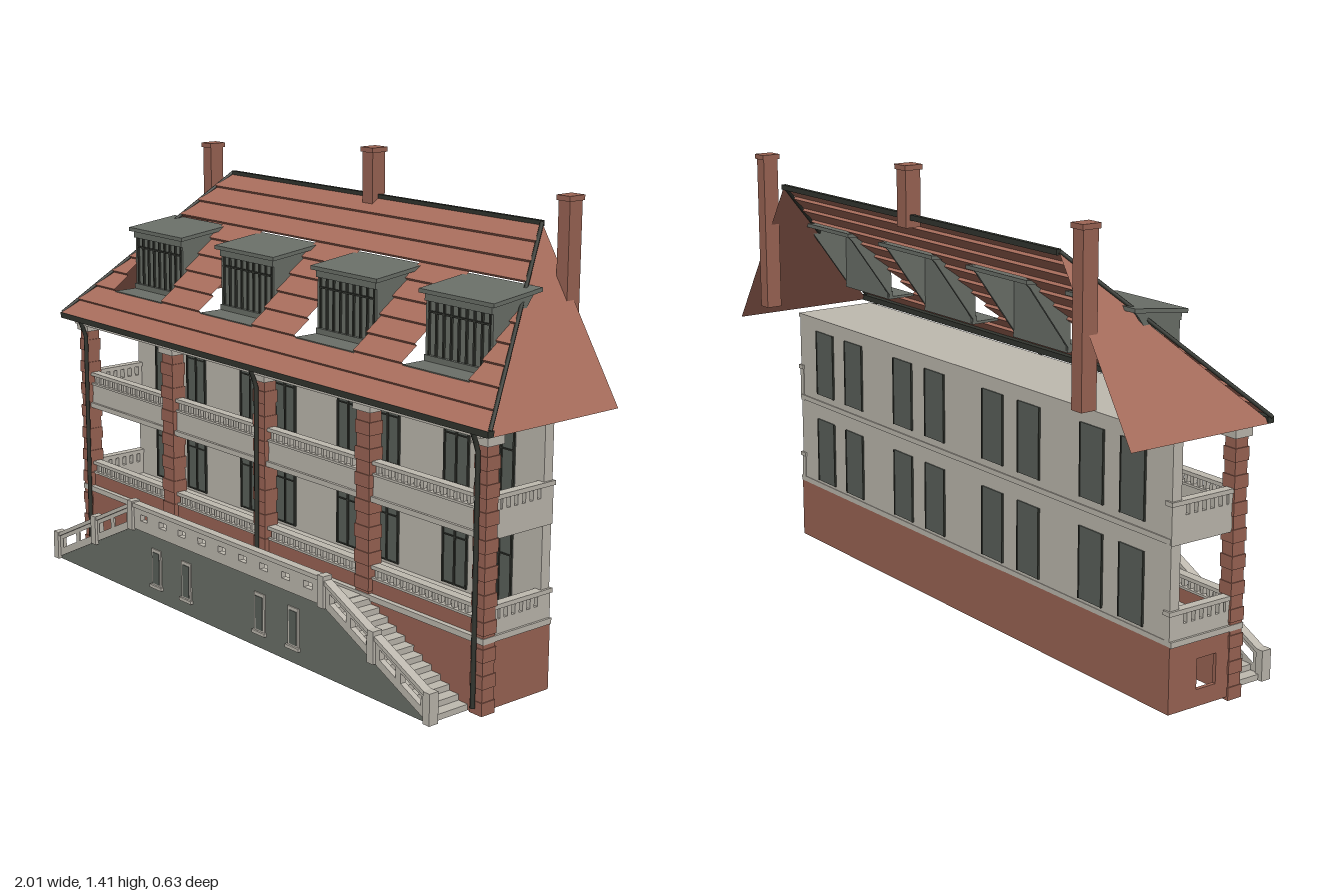
import * as THREE from 'three';

const mat = (name, color, side = THREE.FrontSide) => {
  const m = new THREE.MeshStandardMaterial({ color, side });
  m.name = name;
  return m;
};
const stone = mat('pale stone', 0xbfbab0);
const brick = mat('red brick', 0x9c6555);
const tile = mat('roof tile', 0xa96e5d, THREE.DoubleSide);
const slate = mat('grey slate', 0x6b7069, THREE.DoubleSide);
const dark = mat('dark metal', 0x32352f);
const glass = mat('window glass', 0x5b615b);

function add(parent, name, geo, m) {
  const mesh = new THREE.Mesh(geo, m);
  mesh.name = name;
  parent.add(mesh);
  return mesh;
}
function group(parent, name) {
  const g = new THREE.Group();
  g.name = name;
  parent.add(g);
  return g;
}
// Box given by its limits
function box(parent, name, m, x0, x1, y0, y1, z0, z1) {
  const geo = new THREE.BoxGeometry(Math.abs(x1 - x0), y1 - y0, z1 - z0);
  return add(parent, name, geo.translate((x0 + x1) / 2, (y0 + y1) / 2, (z0 + z1) / 2), m);
}
const poly = (pts) => pts.map(([x, y]) => new THREE.Vector2(x, y));
function plate(pts, holes, depth) {
  const s = new THREE.Shape(poly(pts));
  holes.forEach((h) => s.holes.push(new THREE.Path(poly(h))));
  return new THREE.ExtrudeGeometry(s, { depth, bevelEnabled: false });
}
function quads(list) {
  const pos = [];
  list.forEach(([a, b, c, d]) => pos.push(...a, ...b, ...c, ...a, ...c, ...d));
  const g = new THREE.BufferGeometry();
  g.setAttribute('position', new THREE.Float32BufferAttribute(pos, 3));
  g.computeVertexNormals();
  return g;
}
const rod = (pts, r) => {
  const path = new THREE.CurvePath();
  const v = pts.map((p) => new THREE.Vector3(...p));
  for (let i = 1; i < v.length; i++) path.add(new THREE.LineCurve3(v[i - 1], v[i]));
  return new THREE.TubeGeometry(path, 24, r, 8);
};

const DORMERS = [-0.695, -0.232, 0.232, 0.695];
const EAVE = 0.8, RIDGE = 1.26;
const hipX = (y) => 1 - (y - EAVE) * (0.3 / 0.46);
const roofZ = (y) => 0.2 - (y - EAVE) * (0.49 / 0.46);

function buildRoof(root) {
  const g = group(root, 'roof');
  // Overlapping tile courses, interrupted by the dormer openings
  const list = [], n = 10, h = (RIDGE - EAVE) / n, lift = 0.007;
  for (let i = 0; i < n; i++) {
    const y0 = EAVE + i * h, y1 = y0 + h;
    const cuts = i >= 2 && i < 7 ? DORMERS.flatMap((c) => [c - 0.13, c + 0.13]) : [];
    const bottom = [-hipX(y0), ...cuts, hipX(y0)], top = [-hipX(y1), ...cuts, hipX(y1)];
    for (let k = 0; k < bottom.length; k += 2) {
      let [a, b, c, d] = [bottom[k], bottom[k + 1], top[k + 1], top[k]];
      if (a >= b) continue;
      d = Math.min(d, c);
      if (k === bottom.length - 2) { d = top[k]; c = Math.max(c, d); }
      const z0 = roofZ(y0), z1 = roofZ(y1);
      const p = [a, y0 + lift, z0 + lift], q = [b, y0 + lift, z0 + lift];
      list.push([p, q, [c, y1, z1], [d, y1, z1]]);
      list.push([[a, y0, z0], [b, y0, z0], q, p]);
    }
  }
  add(g, 'tileCourses', quads(list), tile);
  for (const s of [-1, 1]) {
    const a = [s, 0.79, 0.2], b = [s, 0.79, -0.29], c = [s * 0.7, RIDGE, -0.29];
    add(g, 'hipSlope', quads([s > 0 ? [a, b, c, c] : [b, a, c, c]]), tile);
    add(g, 'hipTrim', rod([[s, 0.807, 0.2], [s * 0.7, 1.262, -0.288]], 0.006), dark);
  }
  box(g, 'ridgeTrim', dark, -0.7, 0.7, 1.252, 1.268, -0.298, -0.284);
  box(g, 'gutter', dark, -1, 1, 0.79, 0.808, 0.185, 0.207);
}

function buildDormer(root, x) {
  const g = group(root, 'dormer');
  g.position.x = x;
  box(g, 'windowPane', slate, -0.125, 0.125, 0.89, 1.09, 0.008, 0.016);
  for (let i = 0; i <= 8; i++) {
    const c = -0.118 + i * 0.0295;
    box(g, 'windowBar', dark, c - 0.003, c + 0.003, 0.905, 1.075, 0.016, 0.022);
  }
  box(g, 'crossBar', dark, -0.12, 0.12, 1.03, 1.035, 0.016, 0.023);
  box(g, 'windowHead', slate, -0.13, 0.13, 1.062, 1.085, 0.012, 0.026);
  box(g, 'windowFoot', slate, -0.13, 0.13, 0.89, 0.91, 0.012, 0.026);
  box(g, 'sillShelf', slate, -0.13, 0.13, 0.885, 0.893, 0.01, 0.105);
  const cheek = plate([[0.02, 0.89], [0.02, 1.09], [-0.14, 1.105], [-0.125, 1.09]], [], 0.008).rotateY(-Math.PI / 2);
  add(g, 'leftCheek', cheek, slate).position.x = 0.13;
  add(g, 'rightCheek', cheek, slate).position.x = -0.122;
  const lid = plate([[0.035, 1.083], [0.035, 1.095], [-0.15, 1.117], [-0.15, 1.105]], [], 0.29).rotateY(-Math.PI / 2);
  add(g, 'dormerRoof', lid, slate).position.x = 0.145;
}

function buildChimney(root, x, y0, y1, w) {
  const g = group(root, 'chimney');
  box(g, 'shaft', brick, x - w, x + w, y0, y1 - 0.01, -0.312, -0.262);
  box(g, 'cap', brick, x - w - 0.004, x + w + 0.004, y1 - 0.015, y1, -0.317, -0.257);
}

function buildWindow(root, x, y) {
  const g = group(root, 'window');
  box(g, 'frontGlass', glass, x - 0.05, x + 0.05, y, y + 0.215, -0.066, -0.062);
  box(g, 'backGlass', glass, x - 0.05, x + 0.05, y, y + 0.215, -0.102, -0.098);
  for (const d of [-0.048, 0, 0.048]) box(g, 'upright', dark, x + d - 0.003, x + d + 0.003, y, y + 0.215, -0.063, -0.058);
  for (const d of [0.002, 0.145, 0.213]) box(g, 'glazingBar', dark, x - 0.05, x + 0.05, y + d - 0.002, y + d + 0.002, -0.063, -0.059);
  for (const d of [-0.05, 0.05]) box(g, 'backFrame', dark, x + d - 0.002, x + d + 0.002, y, y + 0.215, -0.104, -0.098);
}

function buildBody(root) {
  const g = group(root, 'house');
  // Hollow brick base, open below, with a window hole in one end
  box(g, 'baseFront', brick, -0.95, 0.95, 0, 0.205, 0.145, 0.158);
  box(g, 'baseBack', brick, -0.95, 0.95, 0.01, 0.205, -0.1, -0.088);
  box(g, 'baseEnd', brick, 0.938, 0.95, 0.01, 0.205, -0.1, 0.158);
  const end = plate([[-0.1, 0.01], [0.158, 0.01], [0.158, 0.205], [-0.1, 0.205]],
    [[[0, 0.06], [0, 0.15], [0.07, 0.15], [0.07, 0.06]]], 0.012).rotateY(-Math.PI / 2);
  add(g, 'baseEndWithOpening', end, brick).position.x = -0.938;
  // Floors, ceiling and the window wall
  box(g, 'lowerFloor', stone, -0.955, 0.955, 0.203, 0.22, -0.1, 0.163);
  box(g, 'upperFloor', stone, -0.945, 0.945, 0.492, 0.508, -0.102, 0.155);
  box(g, 'ceiling', stone, -0.95, 0.95, 0.776, 0.788, -0.1, 0.185);
  box(g, 'windowWall', stone, -0.945, 0.945, 0.21, 0.78, -0.098, -0.065);
  for (const y of [0.23, 0.53])
    for (const x of [0.15, 0.325, 0.612, 0.787]) for (const s of [-1, 1]) buildWindow(g, s * x, y);
  // Brick piers of alternating blocks, with stone capitals
  for (const [x, w] of [[-0.932, 0.024], [-0.465, 0.031], [0, 0.028], [0.465, 0.031], [0.932, 0.024]]) {
    const p = group(g, 'pier');
    for (let i = 0; i < 20; i++) {
      const e = i % 2 ? 0.003 : 0, y = i * 0.038;
      box(p, 'pierBlock', brick, x - w + e, x + w - e, y, y + 0.038, 0.113 + e, 0.163 - e);
    }
    box(p, 'capital', stone, x - w - 0.006, x + w + 0.006, 0.752, 0.778, 0.106, 0.168);
  }
}

function buildBalconies(root) {
  const g = group(root, 'balconies');
  for (const [y0, yb, m] of [[0.22, 0.262, brick], [0.5, 0.568, stone]]) {
    for (const [a, b] of [[-0.91, -0.495], [-0.435, -0.027], [0.027, 0.435], [0.495, 0.91]]) {
      box(g, 'parapet', m, a, b, y0, yb, 0.127, 0.147);
      box(g, 'bottomRail', stone, a, b, yb, yb + 0.007, 0.124, 0.15);
      box(g, 'handrail', stone, a, b, yb + 0.032, yb + 0.043, 0.122, 0.152);
      for (let i = 0; i < 16; i++) {
        const x = a + (i + 0.5) * (b - a) / 16;
        box(g, 'baluster', stone, x - 0.006, x + 0.006, yb, yb + 0.034, 0.131, 0.143);
      }
    }
    for (const s of [-1, 1]) {
      const a = s * 0.928, b = s * 0.948;
      box(g, 'endParapet', stone, a, b, y0 - 0.012, yb, -0.1, 0.115);
      box(g, 'endRail', stone, s * 0.924, s * 0.952, yb + 0.03, yb + 0.043, -0.104, 0.115);
      for (let i = 0; i < 7; i++) {
        const z = i ? 0.115 - i * 0.029 : 0.108, w = i ? 0.008 : 0.007;
        box(g, 'endBaluster', stone, a, b, yb, yb + 0.032, z - w, z + w);
      }
      box(g, 'endPost', stone, a, b, yb, yb + 0.032, -0.1, -0.06);
    }
  }
}

function buildStairs(root) {
  const g = group(root, 'entranceStairs');
  // Front wall and both raking parapets
  const wall = plate([[-0.9, 0], [0.9, 0], [0.9, 0.01], [0.465, 0.215], [-0.465, 0.215], [-0.9, 0.01]], [], 0.015);
  add(g, 'stairWall', wall, slate).position.z = 0.288;
  const slots = [];
  for (let i = 0; i < 9; i++) {
    const x = -0.4 + i * 0.1;
    slots.push([[x - 0.018, 0.245], [x - 0.018, 0.265], [x + 0.018, 0.265], [x + 0.018, 0.245]]);
  }
  const level = plate([[-0.465, 0.212], [0.465, 0.212], [0.465, 0.29], [-0.465, 0.29]], slots, 0.018);
  add(g, 'landingParapet', level, stone).position.z = 0.288;
  box(g, 'landingCoping', stone, -0.475, 0.475, 0.284, 0.297, 0.284, 0.312);
  const low = (x) => 0.212 - (x - 0.465) * 0.483;
  const rake = (a, b, u, v) => [[a, low(a) + u], [b, low(b) + u], [b, low(b) + v], [a, low(a) + v]];
  for (const s of [-1, 1]) {
    const flip = (pts) => pts.map(([x, y]) => [s * x, y]);
    const holes = [[0.495, 0.565], [0.585, 0.65], [0.705, 0.77], [0.79, 0.87]].map(([a, b]) => flip(rake(a, b, 0.026, 0.056)));
    add(g, 'rakingParapet', plate(flip(rake(0.465, 0.9, 0, 0.075)), holes, 0.018), stone).position.z = 0.288;
    add(g, 'rakingCoping', plate(flip(rake(0.465, 0.9, 0.07, 0.083)), [], 0.028), stone).position.z = 0.284;
    for (const x of [0.465, 0.675, 0.9])
      box(g, 'parapetPost', stone, s * (x - 0.013), s * (x + 0.013), Math.max(0, low(x) - 0.005), low(x) + 0.09, 0.282, 0.315);
    const n = 12;
    for (let i = 0; i < n; i++) {
      const x = 0.465 + i * 0.036, y = 0.21 - i * 0.0175;
      box(g, 'step', stone, s * x, s * (x + 0.037), Math.max(0, y - 0.03), y, 0.158, 0.29);
    }
    // Cellar slits
    for (const x of [0.18, 0.335]) {
      const c = s * x;
      box(g, 'slitFrame', stone, c - 0.024, c + 0.024, 0.05, 0.17, 0.302, 0.307);
      box(g, 'slitGlass', glass, c - 0.016, c + 0.016, 0.058, 0.16, 0.306, 0.309);
      box(g, 'slitSill', stone, c - 0.03, c + 0.03, 0.043, 0.053, 0.302, 0.313);
    }
  }
  box(g, 'landing', stone, -0.466, 0.466, 0.195, 0.212, 0.158, 0.29);
}

export function createModel() {
  const root = new THREE.Group();
  root.name = 'house';
  buildBody(root);
  buildBalconies(root);
  buildStairs(root);
  buildRoof(root);
  DORMERS.forEach((x) => buildDormer(root, x));
  buildChimney(root, -0.805, 0.86, 1.352, 0.021);
  buildChimney(root, 0.805, 0.86, 1.352, 0.021);
  buildChimney(root, 0, 1.23, 1.41, 0.023);
  for (const x of [-0.905, 0, 0.93])
    add(root, 'downpipe', rod([[x, 0.795, 0.195], [x, 0.74, 0.172], [x, 0.02, 0.172]], 0.007), dark);
  return root;
}
